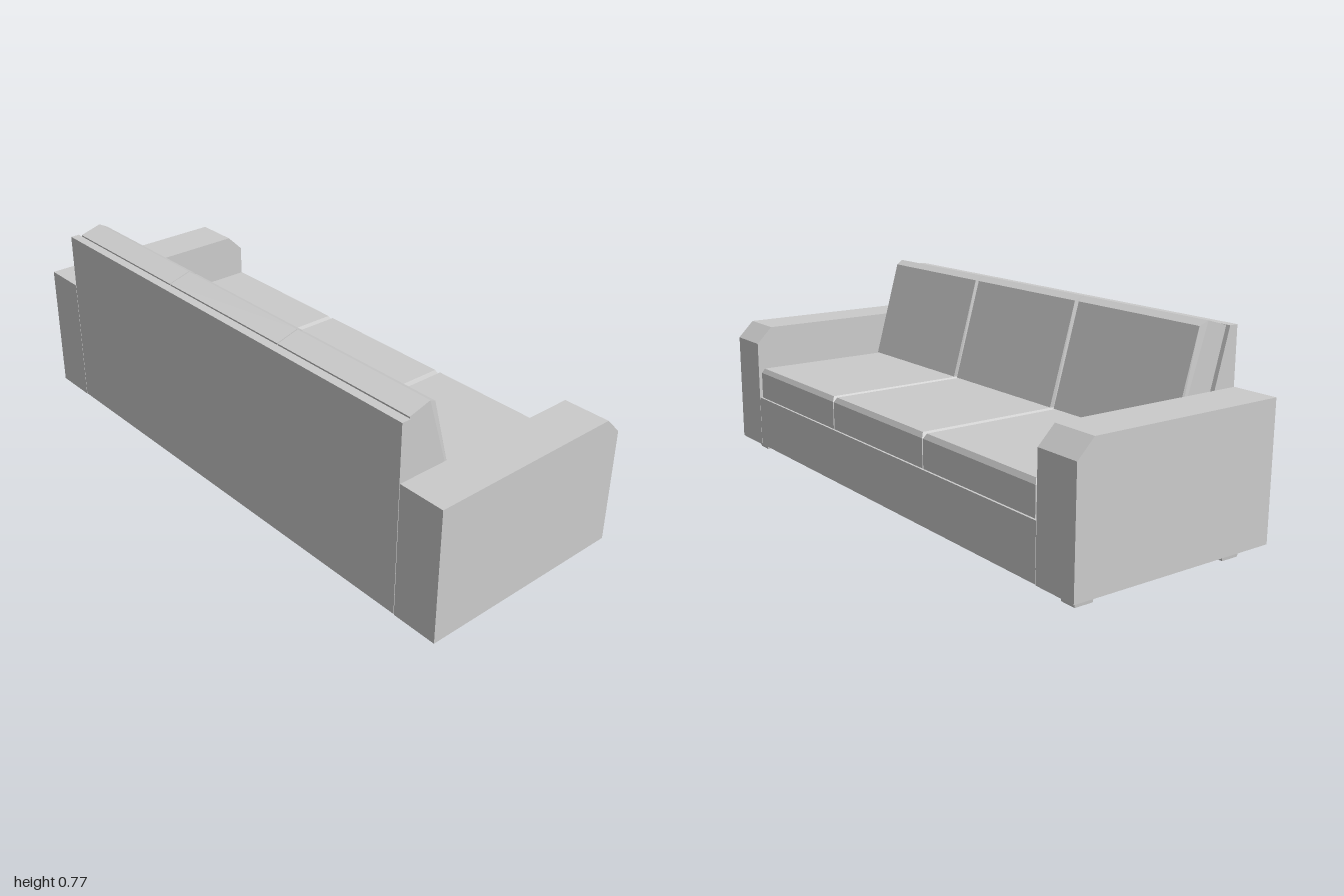
import * as THREE from 'three';
import { ConvexGeometry } from 'three/addons/geometries/ConvexGeometry.js';

const material = new THREE.MeshStandardMaterial({ color: 0xcccccc, flatShading: true });

// Side profile (x, y) extruded along z and centred on z = 0
function extrude(profile, width) {
  const shape = new THREE.Shape(profile.map(([x, y]) => new THREE.Vector2(x, y)));
  const geometry = new THREE.ExtrudeGeometry(shape, { depth: width, bevelEnabled: false });
  return geometry.translate(0, 0, -width / 2);
}

// Convex cushion from (x, y, half width) points mirrored across z
function cushion(points) {
  return new ConvexGeometry(points.flatMap(([x, y, z]) =>
    [new THREE.Vector3(x, y, z), new THREE.Vector3(x, y, -z)]));
}

export function createModel() {
  const group = new THREE.Group();
  const add = (name, geometry, x = 0, y = 0, z = 0) => {
    const mesh = new THREE.Mesh(geometry, material);
    mesh.name = name;
    mesh.position.set(x, y, z);
    group.add(mesh);
  };

  // Base and leaning backrest in one profile
  add('baseAndBackrest', extrude([
    [-0.378, 0.113], [0.376, 0.113], [0.376, 0.298], [-0.222, 0.298],
    [-0.295, 0.563], [-0.347, 0.753], [-0.378, 0.753],
  ], 1.676));

  // Armrests with a chamfered front top edge
  const arm = extrude([
    [-0.378, 0.111], [0.376, 0.111], [0.376, 0.505], [0.318, 0.563], [-0.378, 0.563],
  ], 0.16);
  for (const side of [-1, 1]) {
    add(side > 0 ? 'leftArmrest' : 'rightArmrest', arm, 0, 0, side * 0.92);
  }

  // Seat cushion: top edges chamfered
  const seat = cushion([
    [-0.215, 0.299, 0.274], [0.37, 0.299, 0.274],
    [-0.24, 0.395, 0.274], [0.37, 0.395, 0.274],
    [-0.24, 0.412, 0.265], [0.361, 0.412, 0.265],
  ]);

  // Back cushion: leaning, with a peaked top and chamfered front sides
  const back = cushion([
    [-0.247, 0.414, 0.275], [-0.341, 0.753, 0.275], [-0.265, 0.775, 0.275],
    [-0.237, 0.76, 0.267], [-0.139, 0.414, 0.267], [-0.147, 0.414, 0.275],
  ]);
  for (const i of [-1, 0, 1]) {
    add('seatCushion', seat, 0, 0, i * 0.553);
    add('backCushion', back, 0, 0, i * 0.553);
  }

  // Tapered corner feet
  const foot = new THREE.CylinderGeometry(Math.SQRT1_2, Math.SQRT1_2 * 0.87, 1, 4);
  foot.rotateY(Math.PI / 4).scale(0.074, 0.041, 0.064);
  for (const x of [-0.278, 0.295]) {
    for (const z of [-0.92, 0.92]) add('foot', foot, x, 0.0915, z);
  }

  // Central support block
  add('centreSupport', new THREE.BoxGeometry(0.144, 0.113, 0.142), 0.03, 0.0565, 0.004);

  return group;
}
